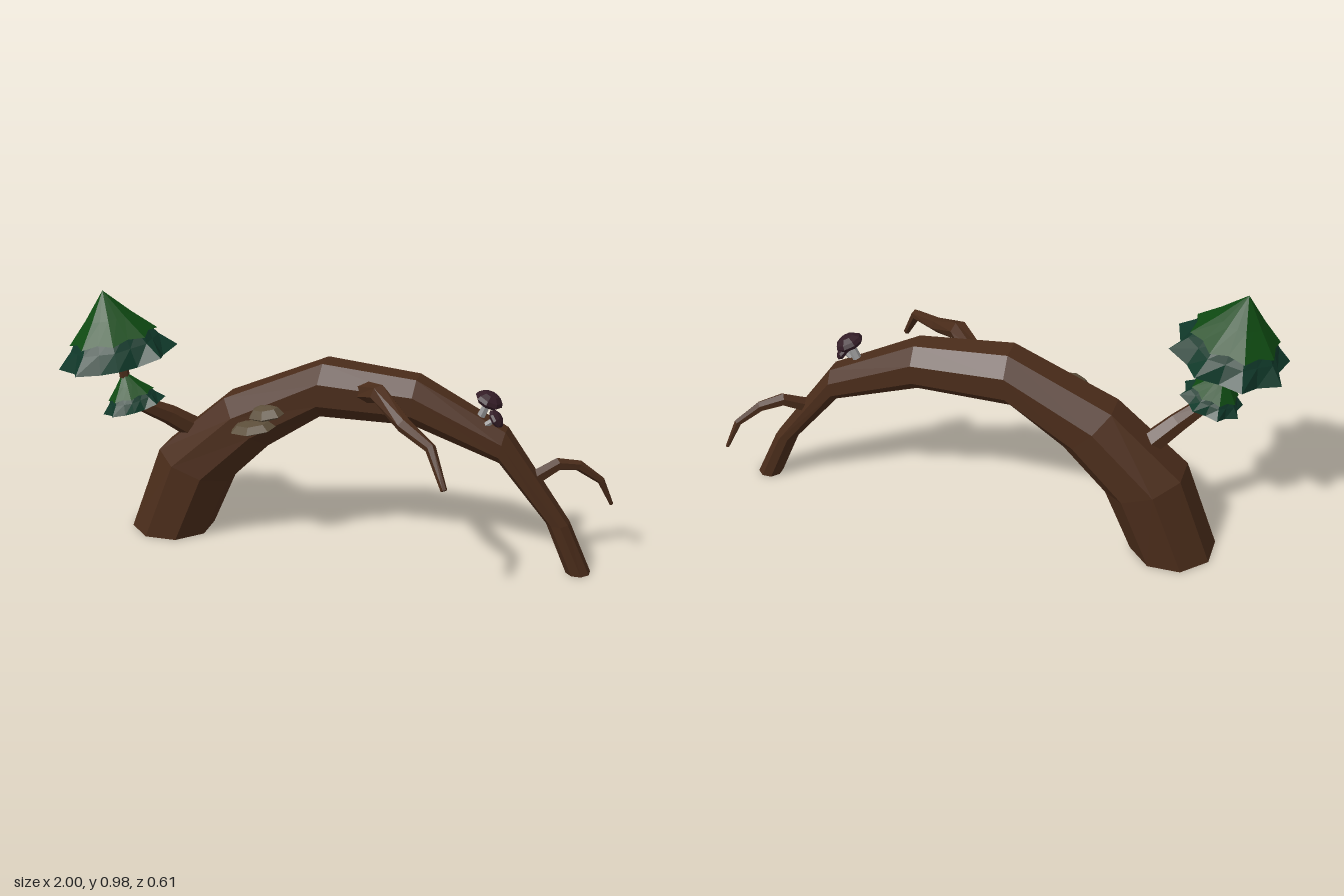
import * as THREE from 'three';

const V = (x, y, z) => new THREE.Vector3(x, y, z);
const mat = (color) => new THREE.MeshStandardMaterial({ color, flatShading: true, roughness: 1 });
const BARK = mat(0x4a2c1a), LEAF = mat(0x0f4a12), SKIRT = mat(0x10392a);
const SHELF = mat(0x5c4e3a), CAP = mat(0x331c26), STEM = mat(0x999999);

// Skin a list of equal-length rings and close both ends.
function loft(rings) {
  const pos = [];
  const tri = (...p) => p.forEach((v) => pos.push(v.x, v.y, v.z));
  const n = rings[0].length;
  const centre = (r) => r.reduce((s, p) => s.add(p), V(0, 0, 0)).divideScalar(n);
  const first = rings[0], last = rings[rings.length - 1];
  const c0 = centre(first), c1 = centre(last);
  for (let i = 0; i < n; i++) {
    const j = (i + 1) % n;
    tri(c0, first[j], first[i]);
    tri(c1, last[i], last[j]);
    for (let k = 0; k < rings.length - 1; k++) {
      const a = rings[k], b = rings[k + 1];
      tri(a[i], a[j], b[j]);
      tri(a[i], b[j], b[i]);
    }
  }
  const g = new THREE.BufferGeometry();
  g.setAttribute('position', new THREE.Float32BufferAttribute(pos, 3));
  g.computeVertexNormals();
  return g;
}

// Ring around c spanned by half-axes u and v.
const ring = (c, u, v, n, phase = 0) => Array.from({ length: n }, (_, i) => {
  const t = (i / n) * Math.PI * 2 + phase;
  return c.clone().addScaledVector(u, Math.cos(t)).addScaledVector(v, Math.sin(t));
});

function add(parent, name, geometry, material) {
  const m = new THREE.Mesh(geometry, material);
  m.name = name;
  parent.add(m);
  return m;
}

// Tapered bent limb; points are [x, y, z, radius].
function limb(points, sides = 6) {
  const p = points.map(([x, y, z]) => V(x, y, z));
  return loft(p.map((c, i) => {
    const d = p[Math.min(i + 1, p.length - 1)].clone().sub(p[Math.max(i - 1, 0)]).normalize();
    const side = V(0.5, 0, 0.86).cross(d).normalize();
    const r = points[i][3];
    return ring(c, side.clone().multiplyScalar(r), d.clone().cross(side).multiplyScalar(r), sides);
  }));
}

// Eight-pointed tier; rows are [tipRadius, tipY, notchRadius, notchY], bottom to top.
function tier(rows) {
  return loft(rows.map(([r, y, rn, yn]) => Array.from({ length: 16 }, (_, i) => {
    const t = (i / 16) * Math.PI * 2 + Math.PI / 8;
    const [q, h] = i % 2 ? [rn, yn] : [r, y];
    return V(q * Math.sin(t), h, q * Math.cos(t));
  })));
}

function foliage(name, x, y, z, scale, tilt) {
  const g = new THREE.Group();
  g.name = name;
  add(g, 'lowerNeedles', tier([
    [0.02, 0.025, 0.02, 0.025], [0.222, 0, 0.178, -0.012],
    [0.165, 0.055, 0.15, 0.055], [0.13, 0.105, 0.125, 0.105]]), SKIRT);
  add(g, 'upperNeedles', tier([
    [0.02, 0.09, 0.02, 0.09], [0.164, 0.078, 0.142, 0.088],
    [0.085, 0.158, 0.079, 0.158], [0, 0.255, 0, 0.255]]), LEAF);
  g.position.set(x, y, z);
  g.rotation.z = tilt;
  g.scale.setScalar(scale);
  return g;
}

function mushroom(name, x, y, z, tilt, r, stem) {
  const g = new THREE.Group();
  g.name = name;
  add(g, 'stem', new THREE.CylinderGeometry(r * 0.27, r * 0.33, stem, 6), STEM).position.y = stem / 2;
  const profile = [[0, 0.1], [0.75, -0.12], [1, 0.15], [0.9, 0.42], [0.5, 0.68], [0, 0.75]];
  add(g, 'cap', new THREE.LatheGeometry(profile.map(([a, b]) => new THREE.Vector2(a * r, b * r)), 8), CAP)
    .position.y = stem - r * 0.1;
  g.position.set(x, y, z);
  g.rotation.z = tilt;
  return g;
}

export function createModel() {
  const model = new THREE.Group();
  model.name = 'fallenArchedTree';

  // Arched trunk: outer x, y, inner x, y, half depth
  const sections = [
    [-0.82, 0, -0.53, 0, 0.148], [-0.70, 0.33, -0.43, 0.23, 0.147],
    [-0.44, 0.56, -0.27, 0.39, 0.125], [-0.06, 0.73, -0.07, 0.525, 0.107],
    [0.29, 0.70, 0.28, 0.525, 0.092], [0.62, 0.53, 0.60, 0.41, 0.072],
    [0.86, 0.19, 0.78, 0.19, 0.05], [0.945, 0, 0.86, 0, 0.044]];
  const k = 0.5 / Math.cos(Math.PI / 8);
  add(model, 'trunk', loft(sections.map(([ox, oy, ix, iy, w]) => ring(
    V((ox + ix) / 2, (oy + iy) / 2, -0.128),
    V((ox - ix) * k, (oy - iy) * k, 0), V(0, 0, w * 2 * k), 8, Math.PI / 8))), BARK);

  // Branches
  add(model, 'frontBranch', limb([
    [0.09, 0.64, -0.08, 0.042], [0.18, 0.675, 0.02, 0.036], [0.3, 0.61, 0.13, 0.028],
    [0.42, 0.575, 0.23, 0.02], [0.485, 0.45, 0.295, 0.012]]), BARK);
  add(model, 'endBranch', limb([
    [0.72, 0.345, -0.14, 0.03], [0.8, 0.39, -0.195, 0.025], [0.87, 0.375, -0.24, 0.02],
    [0.95, 0.31, -0.275, 0.014], [0.99, 0.21, -0.3, 0.007]]), BARK);
  add(model, 'saplingBranch', limb([
    [-0.56, 0.41, -0.11, 0.045], [-0.65, 0.485, -0.05, 0.038], [-0.73, 0.54, 0.01, 0.03],
    [-0.78, 0.63, 0.04, 0.02], [-0.8, 0.77, 0.045, 0.016]]), BARK);

  // Sapling needles
  model.add(foliage('saplingCrown', -0.8, 0.733, 0.055, 1, 0.2));
  model.add(foliage('saplingLowerTuft', -0.75, 0.543, 0.04, 0.54, 0.28));

  // Shelf fungi on the front of the trunk
  const shelfProfile = [[0, 0], [0.8, 0], [1, 0.2], [0.7, 0.8], [0.3, 1], [0, 1]];
  const shelfGeometry = new THREE.LatheGeometry(shelfProfile.map(([a, b]) => new THREE.Vector2(a, b)), 7);
  [['lowerShelfFungus', -0.3, 0.477, -0.01, 0.092, 0.037],
    ['upperShelfFungus', -0.25, 0.53, -0.018, 0.073, 0.046]].forEach(([name, x, y, z, r, h]) => {
    const m = add(model, name, shelfGeometry, SHELF);
    m.position.set(x, y, z);
    m.scale.set(r, h, r);
    m.rotation.z = 0.15;
  });

  // Mushrooms
  model.add(mushroom('tallMushroom', 0.515, 0.555, -0.12, -0.42, 0.053, 0.088));
  model.add(mushroom('shortMushroom', 0.535, 0.545, -0.095, -0.95, 0.037, 0.058));

  return model;
}
